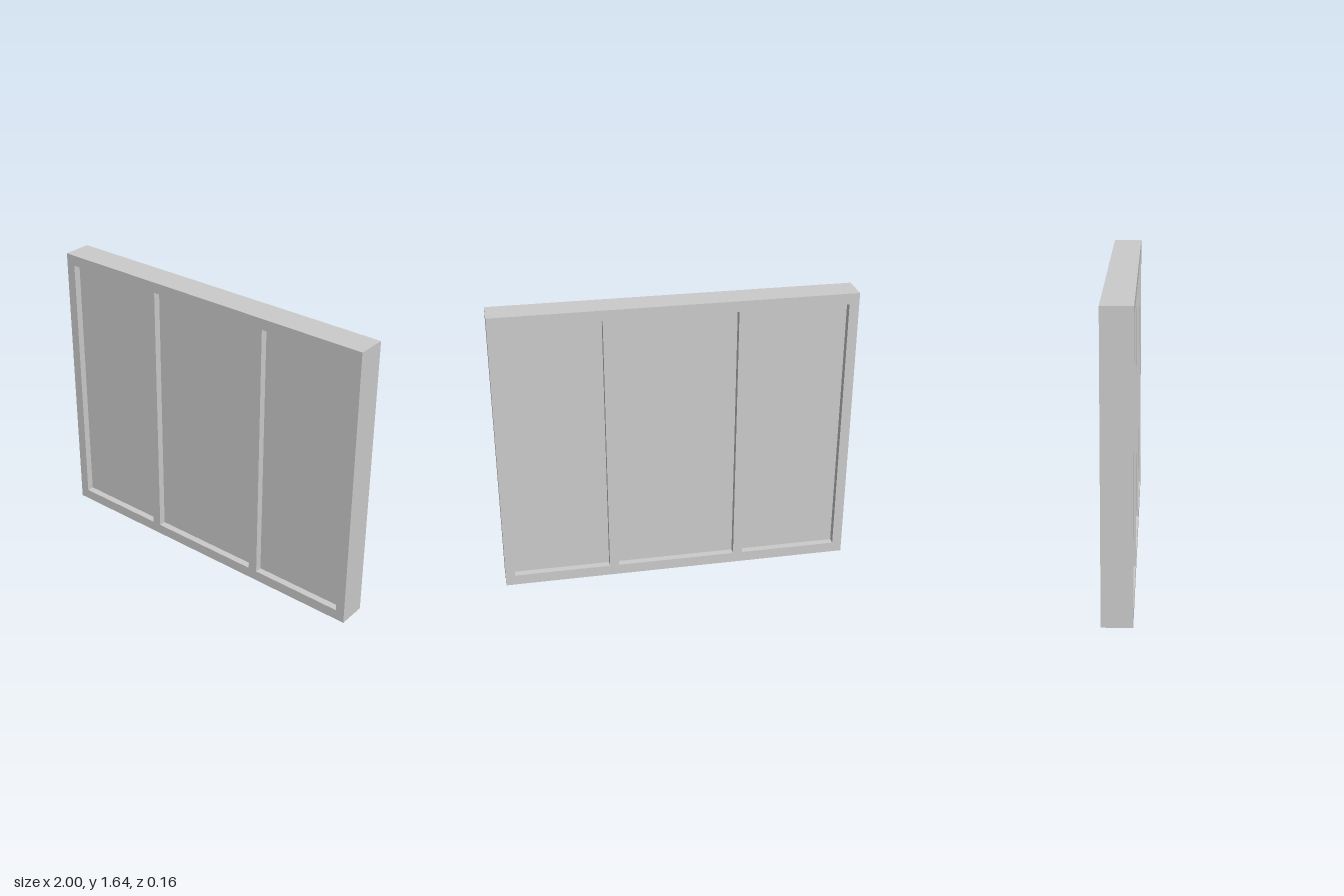
import * as THREE from 'three';

const HEIGHT = 1.645, DEPTH = 0.164, RECESS = 0.04;
const BOTTOM = 0.061, TOP = 1.584;
// left and right edge of each opening
const OPENINGS = [[-0.945, -0.389], [-0.335, 0.344], [0.398, 0.947]];

function rectangle(path, x0, y0, x1, y1) {
  path.moveTo(x0, y0);
  path.lineTo(x1, y0);
  path.lineTo(x1, y1);
  path.lineTo(x0, y1);
  path.closePath();
  return path;
}

export function createModel() {
  const group = new THREE.Group();
  group.name = 'threePaneWindow';
  const material = new THREE.MeshStandardMaterial({ color: 0xcccccc });

  // Outer frame with two mullions, cut as one piece
  const outline = rectangle(new THREE.Shape(), -1, 0, 1, HEIGHT);
  for (const [x0, x1] of OPENINGS) {
    outline.holes.push(rectangle(new THREE.Path(), x0, BOTTOM, x1, TOP));
  }
  const frameGeometry = new THREE.ExtrudeGeometry(outline, { depth: DEPTH, bevelEnabled: false });
  frameGeometry.translate(0, 0, -DEPTH / 2);
  const frame = new THREE.Mesh(frameGeometry, material);
  frame.name = 'frame';
  group.add(frame);

  // Panes, recessed equally at front and back
  OPENINGS.forEach(([x0, x1], i) => {
    const pane = new THREE.Mesh(
      new THREE.BoxGeometry(x1 - x0, TOP - BOTTOM, DEPTH - 2 * RECESS), material);
    pane.position.set((x0 + x1) / 2, (BOTTOM + TOP) / 2, 0);
    pane.name = ['rightPane', 'middlePane', 'leftPane'][i];
    group.add(pane);
  });

  return group;
}
